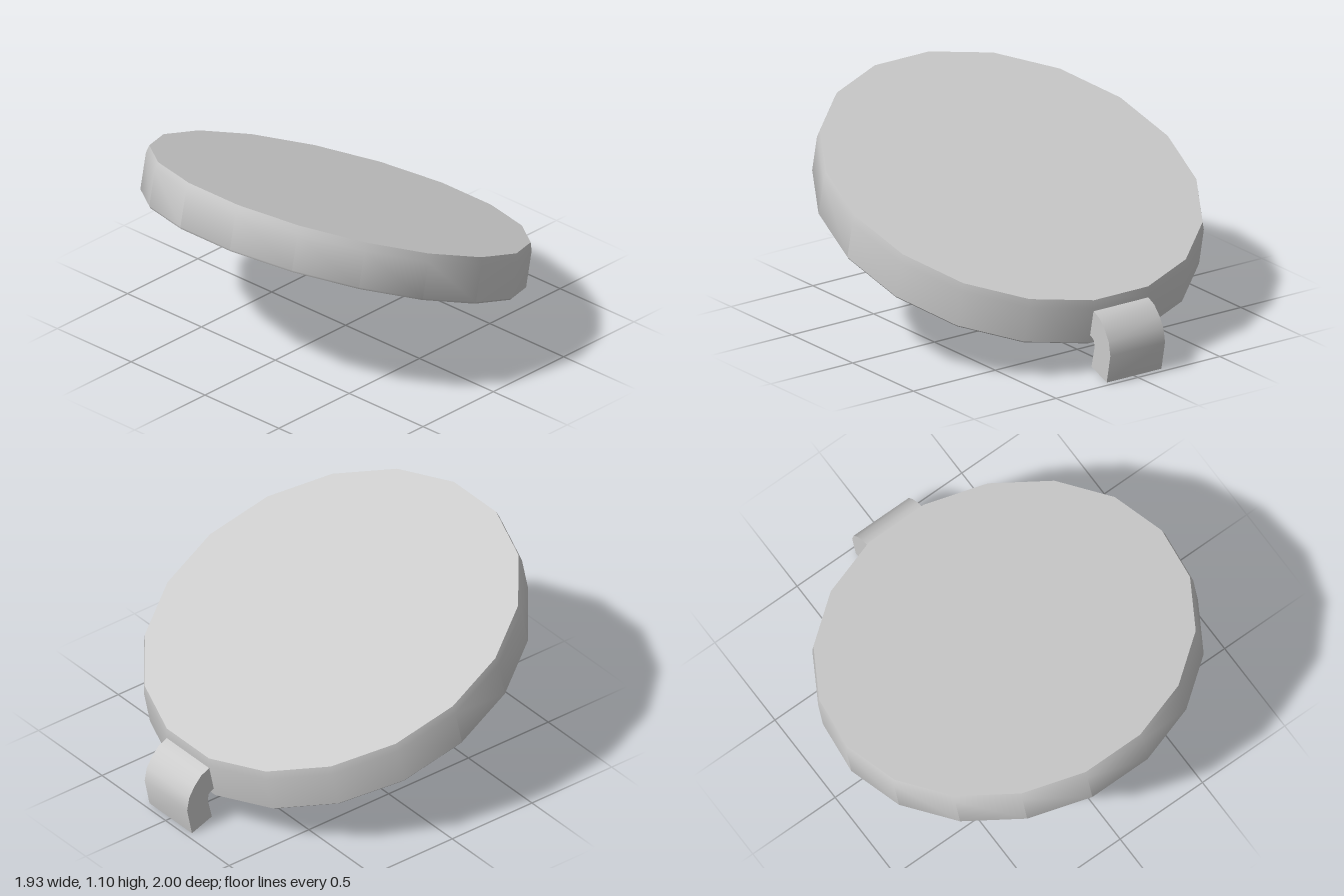
import * as THREE from 'three';
import { toCreasedNormals } from 'three/addons/utils/BufferGeometryUtils.js';

const CREASE = THREE.MathUtils.degToRad(40);
const points = (list) => list.map(([x, y]) => new THREE.Vector2(x, y));

function part(name, geometry) {
  const material = new THREE.MeshStandardMaterial({ color: 0xcccccc });
  const mesh = new THREE.Mesh(toCreasedNormals(geometry, CREASE), material);
  mesh.name = name;
  return mesh;
}

// Hollow 18-sided cap, open below; height runs 0..1 before it is tilted
function createLid() {
  const profile = points([
    [0, 0.685], [0.918, 0.685], [0.92, 0.04], [0.932, 0],
    [0.958, 0], [0.966, 0.04], [0.966, 0.83], [0.955, 1], [0, 1],
  ]);
  const geometry = new THREE.LatheGeometry(profile, 18, Math.PI / 18);
  // Tilt up towards the front, with a slight lean of the wall
  const tilt = new THREE.Matrix4().makeBasis(
    new THREE.Vector3(1, 0, 0),
    new THREE.Vector3(0, 0.238, -0.05),
    new THREE.Vector3(0, 0.371, 0.957),
  ).setPosition(0, 0.512, 0.09);
  return part('lid', geometry.applyMatrix4(tilt));
}

// Curved hook at the back, drawn in side profile (backwards, up)
function createHook() {
  const outline = points([
    [0.82, 0.352], [0.865, 0.342], [0.91, 0.32], [0.953, 0.273], [0.985, 0.22],
    [0.998, 0.15], [0.968, 0.003], [0.843, 0.05], [0.868, 0.155],
    [0.864, 0.19], [0.845, 0.205], [0.82, 0.212],
  ]);
  const geometry = new THREE.ExtrudeGeometry(new THREE.Shape(outline), {
    depth: 0.334, bevelEnabled: false,
  });
  geometry.translate(0, 0, -0.167).rotateY(Math.PI / 2);
  return part('hingeHook', geometry);
}

export function createModel() {
  const model = new THREE.Group();
  model.name = 'hingedLid';
  model.add(createLid(), createHook());
  return model;
}
